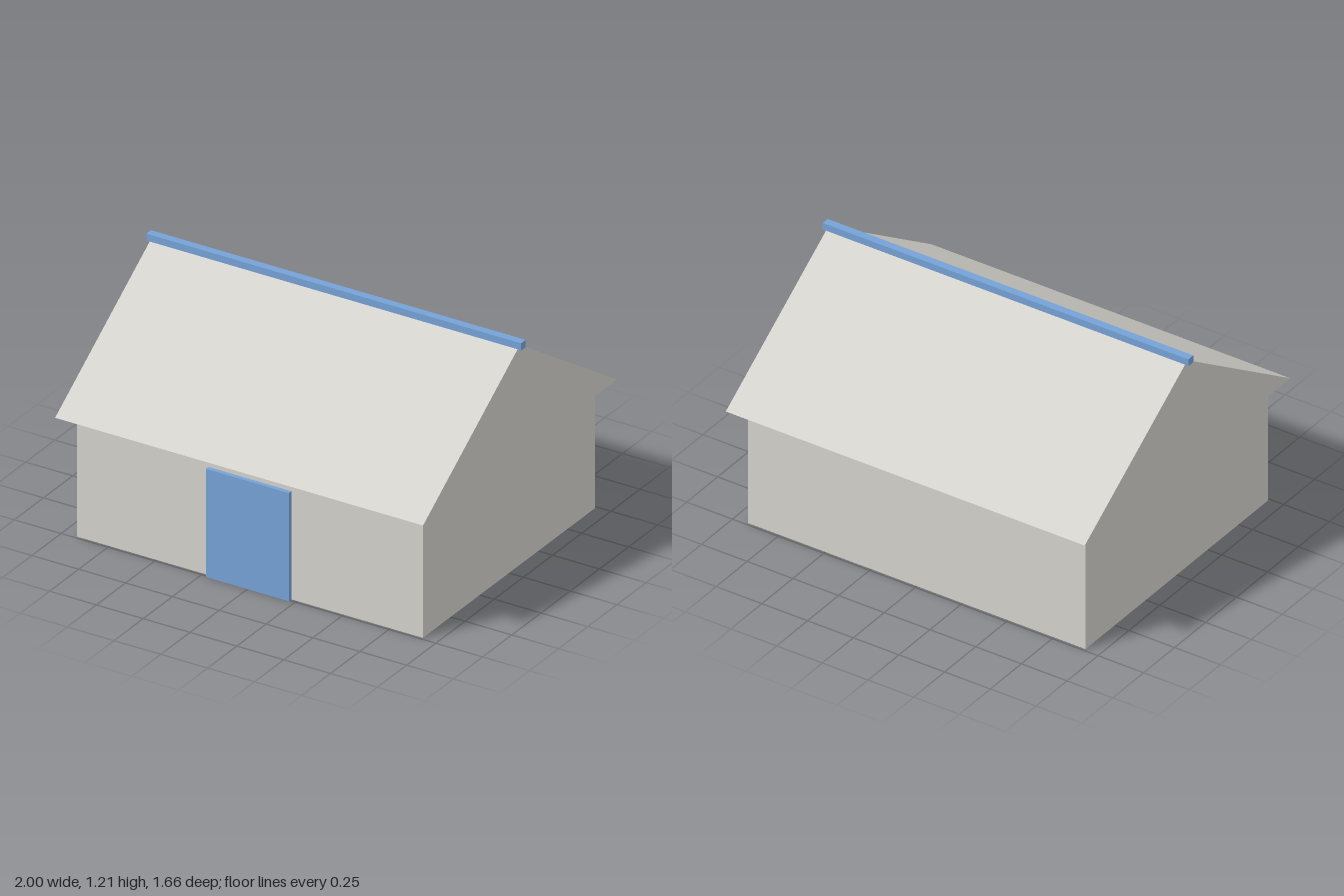
import * as THREE from 'three';

export function createModel() {
  const group = new THREE.Group();
  group.name = 'barn';

  const stone = new THREE.MeshStandardMaterial({ color: 0xd4d2cc });
  stone.name = 'pale grey';
  const blue = new THREE.MeshStandardMaterial({ color: 0x75a2d6 });
  blue.name = 'blue';

  const add = (name, geometry, material, x, y, z) => {
    const mesh = new THREE.Mesh(geometry, material);
    mesh.name = name;
    mesh.position.set(x, y, z);
    group.add(mesh);
    return mesh;
  };
  const box = (name, w, h, d, material, y, z = 0) =>
    add(name, new THREE.BoxGeometry(w, h, d), material, 0, y + h / 2, z);

  // Walls and front door
  box('walls', 1.846, 0.635, 1.474, stone, 0);
  box('door', 0.444, 0.555, 0.022, blue, 0, 0.748);

  // Solid gable roof: triangular section run along x, overhanging all round
  const section = new THREE.Shape();
  section.moveTo(-0.83, 0);
  section.lineTo(0.83, 0);
  section.lineTo(0, 0.552);
  section.closePath();
  const roof = new THREE.ExtrudeGeometry(section, { depth: 1.964, bevelEnabled: false });
  roof.translate(0, 0, -0.982);
  roof.rotateY(Math.PI / 2);
  add('roof', roof, stone, 0, 0.635, 0);

  // Ridge beam capping the roof
  box('ridgeBeam', 2, 0.037, 0.04, blue, 1.172);

  return group;
}
